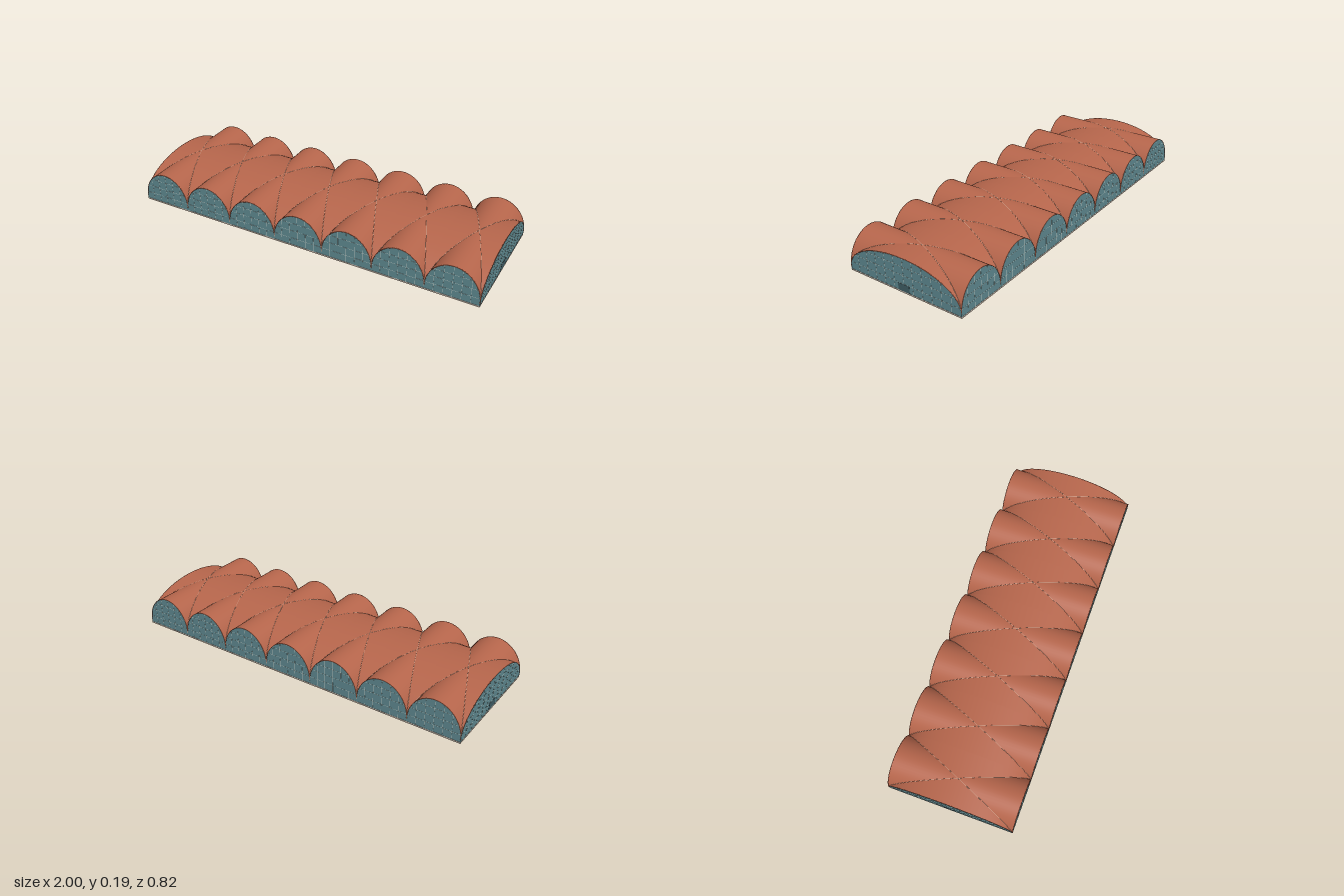
import * as THREE from 'three';

const LENGTH = 1.952, WIDTH = 0.672, BAYS = 7;
const BASE = 0.008, SPRING = 0.024, RISE = 0.161;
const BAY = LENGTH / BAYS, A = BAY / 2, B = WIDTH / 2, SEG = 28;

const paint = (color) => new THREE.MeshStandardMaterial({ color, side: THREE.DoubleSide });
const roofMat = paint(0xb5654b), glassMat = paint(0x5b848b), doorMat = paint(0x3d5960);
const frameMat = paint(0xb4c2bd), ribMat = paint(0xcfa892), slabMat = paint(0xb9aca0);

// Height of the arch at p, from -1 to 1 across its span
const archY = (p) => SPRING + RISE * Math.sqrt(Math.max(0, 1 - p * p));
// Even steps around the arch
const step = (i) => -Math.cos((Math.PI * i) / SEG);

function part(name, geometry, material, parent) {
  const mesh = new THREE.Mesh(geometry, material);
  mesh.name = name;
  parent.add(mesh);
  return mesh;
}

// One of the four curved triangular webs of a groin vault; k turns it by quarters
function webGeometry(k) {
  const pos = [], index = [];
  for (let i = 0; i <= SEG; i++) {
    const p = step(i);
    for (const q of [Math.abs(p), 1]) {
      let x = p, z = q;
      for (let n = 0; n < k; n++) [x, z] = [z, -x];
      pos.push(x * A, archY(p), z * B);
    }
    if (i < SEG) {
      const a = i * 2;
      index.push(a, a + 1, a + 3, a, a + 3, a + 2);
    }
  }
  const g = new THREE.BufferGeometry();
  g.setAttribute('position', new THREE.Float32BufferAttribute(pos, 3));
  g.setIndex(index);
  g.computeVertexNormals();
  return g;
}

// Thin rib following the arch, with x and z given as functions of p
function ribGeometry(fx, fz, radius) {
  const pts = [];
  for (let i = 0; i <= SEG; i++) {
    const p = step(i);
    pts.push(new THREE.Vector3(fx(p), archY(p) - radius * 0.6, fz(p)));
  }
  return new THREE.TubeGeometry(new THREE.CatmullRomCurve3(pts), 40, radius, 5);
}

// Glazed arch facing +z, with glazing bars and an optional door
function glazedArch(half, panes, door) {
  const g = new THREE.Group();
  g.name = 'glazedArch';
  const shape = new THREE.Shape();
  shape.moveTo(-half, BASE);
  for (let i = 0; i <= SEG; i++) shape.lineTo(step(i) * half, archY(step(i)));
  shape.lineTo(half, BASE);
  part('glass', new THREE.ShapeGeometry(shape), glassMat, g);
  for (let i = 1; i < panes; i++) {
    const p = -1 + (2 * i) / panes, h = archY(p) - BASE;
    part('verticalBar', new THREE.BoxGeometry(0.0015, h, 0.001), frameMat, g)
      .position.set(p * half, BASE + h / 2, 0);
  }
  for (const y of [0.048, 0.093, 0.138]) {
    const t = (y - SPRING) / RISE;
    part('horizontalBar', new THREE.BoxGeometry(2 * half * Math.sqrt(1 - t * t), 0.0015, 0.001), frameMat, g)
      .position.y = y;
  }
  if (door) part('door', new THREE.BoxGeometry(0.068, 0.038, 0.002), doorMat, g).position.set(0, BASE + 0.019, 0);
  return g;
}

export function createModel() {
  const root = new THREE.Group();
  root.name = 'vaultedHall';
  const hall = new THREE.Group();
  hall.name = 'hall';
  hall.rotation.y = 0.0745;
  root.add(hall);

  part('floorSlab', new THREE.BoxGeometry(LENGTH, BASE, WIDTH), slabMat, hall).position.y = BASE / 2;

  // Shared pieces of every bay
  const webs = [0, 1, 2, 3].map(webGeometry);
  const diagonals = [1, -1].map((s) => ribGeometry((p) => p * A, (p) => s * p * B, 0.0015));
  const edge = ribGeometry((p) => p * A, () => 0, 0.0015);

  for (let b = 0; b < BAYS; b++) {
    const bay = new THREE.Group();
    bay.name = 'vaultBay';
    bay.position.x = (b - (BAYS - 1) / 2) * BAY;
    webs.forEach((g) => part('vaultWeb', g, roofMat, bay));
    diagonals.forEach((g) => part('diagonalRib', g, ribMat, bay));
    for (const s of [1, -1]) {
      const arch = glazedArch(A, 6, false);
      arch.position.z = s * (B - 0.001);
      arch.rotation.y = s > 0 ? 0 : Math.PI;
      bay.add(arch);
      part('archEdge', edge, roofMat, bay).position.z = s * (B - 0.001);
    }
    hall.add(bay);
  }

  // Wide glazed ends with doors
  const endEdge = ribGeometry(() => 0, (p) => p * B, 0.0015);
  for (const s of [1, -1]) {
    const end = glazedArch(B, 12, true);
    end.position.x = s * (LENGTH / 2 - 0.001);
    end.rotation.y = (s * Math.PI) / 2;
    hall.add(end);
    part('endEdge', endEdge, roofMat, hall).position.x = s * (LENGTH / 2 - 0.001);
  }
  return root;
}
